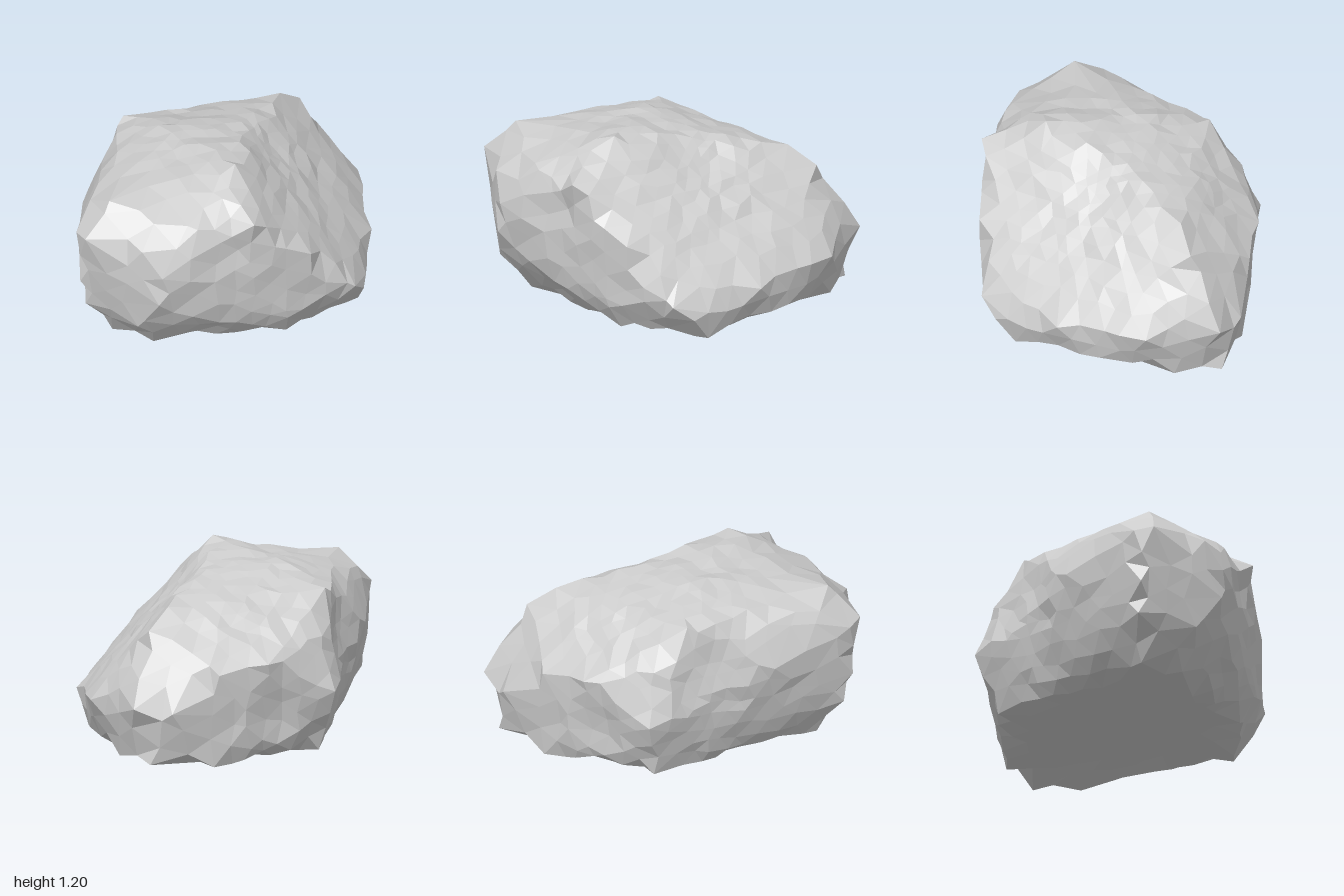
import * as THREE from 'three';
import { mergeVertices } from 'three/addons/utils/BufferGeometryUtils.js';
import { ConvexGeometry } from 'three/addons/geometries/ConvexGeometry.js';

// Main corners of the boulder
const corners = [
  // crest
  [0.05, 1.2, 0.5], [0.17, 1.11, -0.1], [-0.36, 1.13, -0.1], [-0.77, 1.07, 0.62],
  [-0.55, 1.03, -0.38], [0.48, 0.98, -0.58],
  // front face
  [0.12, 1.0, 0.91], [-0.3, 1.0, 0.86], [-0.48, 0.7, 1.0], [-0.5, 0.5, 1.0], [-0.6, 0.87, 0.93],
  [-0.94, 0.87, 0.74], [-0.98, 0.85, 0.62], [-0.96, 0.5, 0.66], [-0.92, 0.3, 0.62], [-0.62, 0.27, 0.88], [-0.1, 0.25, 0.87],
  // left wall
  [-0.87, 0.98, 0.46], [-0.8, 0.92, 0.25], [-0.87, 0.7, 0.08], [-0.73, 0.9, -0.05],
  // ridge falling to the low front corner
  [0.5, 0.66, 0.78], [0.8, 0.3, 0.65], [0.87, 0.2, 0.53], [0.35, 0.2, 0.8],
  // low side wall
  [0.92, 0.22, 0.3], [0.98, 0.33, 0.07], [0.98, 0.38, -0.35], [0.97, 0.38, -0.53], [0.93, 0.13, -0.2],
  // back face
  [0.62, 0.85, -0.7], [0.75, 0.4, -0.95], [0.51, 0.37, -1.0], [0.2, 0.6, -0.94],
  [-0.12, 0.65, -0.88], [-0.5, 0.77, -0.62], [-0.57, 0.43, -0.72],
  // footprint
  [0.85, 0.04, 0.4], [0.8, 0.04, -0.66], [0.64, 0.03, -0.92], [0.23, 0, -0.9],
  [-0.48, 0.03, -0.6], [-0.74, 0.04, 0.55], [-0.5, 0.04, 0.72], [0.35, 0.04, 0.7],
].map(p => new THREE.Vector3(...p));

// Hollows: x, y, z, radius, depth
const hollows = [
  [-0.05, 0.86, 0.92, 0.24, 0.06], [-0.4, 1.1, 0.5, 0.35, 0.025], [0.32, 1.02, 0.05, 0.28, 0.025],
  [-0.62, 0.6, -0.28, 0.28, 0.06], [-0.2, 0.35, -0.8, 0.22, 0.05],
];

function seeded(seed) {
  return () => (seed = (seed * 16807) % 2147483647) / 2147483647;
}

// Face planes of the hull, measured from the centre
function hullPlanes(center) {
  const pos = new ConvexGeometry(corners).attributes.position;
  const planes = [];
  for (let i = 0; i < pos.count; i += 3) {
    const [a, b, c] = [0, 1, 2].map(k => new THREE.Vector3().fromBufferAttribute(pos, i + k).sub(center));
    const n = b.clone().sub(a).cross(c.clone().sub(a));
    if (n.length() < 1e-7) continue;
    n.normalize();
    planes.push({ n, d: n.dot(a) });
  }
  return planes;
}

function boulderGeometry() {
  const rand = seeded(4711);
  const center = new THREE.Vector3(0, 0.5, 0);
  const planes = hullPlanes(center);

  const ball = new THREE.IcosahedronGeometry(1, 7);
  ball.deleteAttribute('normal');
  ball.deleteAttribute('uv');
  const geo = mergeVertices(ball, 1e-4);
  const pos = geo.attributes.position;
  const dirs = [];
  for (let i = 0; i < pos.count; i++) dirs.push(new THREE.Vector3().fromBufferAttribute(pos, i).normalize());

  // Pull the nearest ball vertex onto each corner, so edges stay crisp
  const pinned = new Set();
  for (const corner of corners) {
    const dir = corner.clone().sub(center).normalize();
    let best = 0;
    dirs.forEach((v, i) => { if (v.dot(dir) > dirs[best].dot(dir)) best = i; });
    if (pinned.has(best)) continue;
    pinned.add(best);
    dirs[best].copy(dir);
  }

  dirs.forEach((dir, i) => {
    const free = !pinned.has(i);
    // Irregular facets
    const jitter = new THREE.Vector3(rand() - 0.5, rand() - 0.5, rand() - 0.5);
    const rough = rand();
    if (free) dir.addScaledVector(jitter, 0.06).normalize();
    let r = Infinity;
    for (const { n, d } of planes) {
      const k = n.dot(dir);
      if (k > 1e-6) r = Math.min(r, d / k);
    }
    const p = dir.clone().multiplyScalar(r).add(center);
    // Chipped surface, with the underside left flat
    if (free && p.y > 0.06) {
      let cut = 0.024 * (rough - 0.4);
      for (const [x, y, z, radius, depth] of hollows) {
        const t = p.distanceTo(new THREE.Vector3(x, y, z)) / radius;
        if (t < 1) cut += depth * (1 - t * t);
      }
      p.addScaledVector(dir, -cut);
    }
    pos.setXYZ(i, p.x, Math.max(p.y, 0), p.z);
  });

  const faceted = geo.toNonIndexed();
  faceted.computeVertexNormals();
  return faceted;
}

export function createModel() {
  const group = new THREE.Group();
  group.name = 'rock';
  const material = new THREE.MeshStandardMaterial({ color: 0xcccccc, flatShading: true });
  const boulder = new THREE.Mesh(boulderGeometry(), material);
  boulder.name = 'boulder';
  group.add(boulder);
  return group;
}
